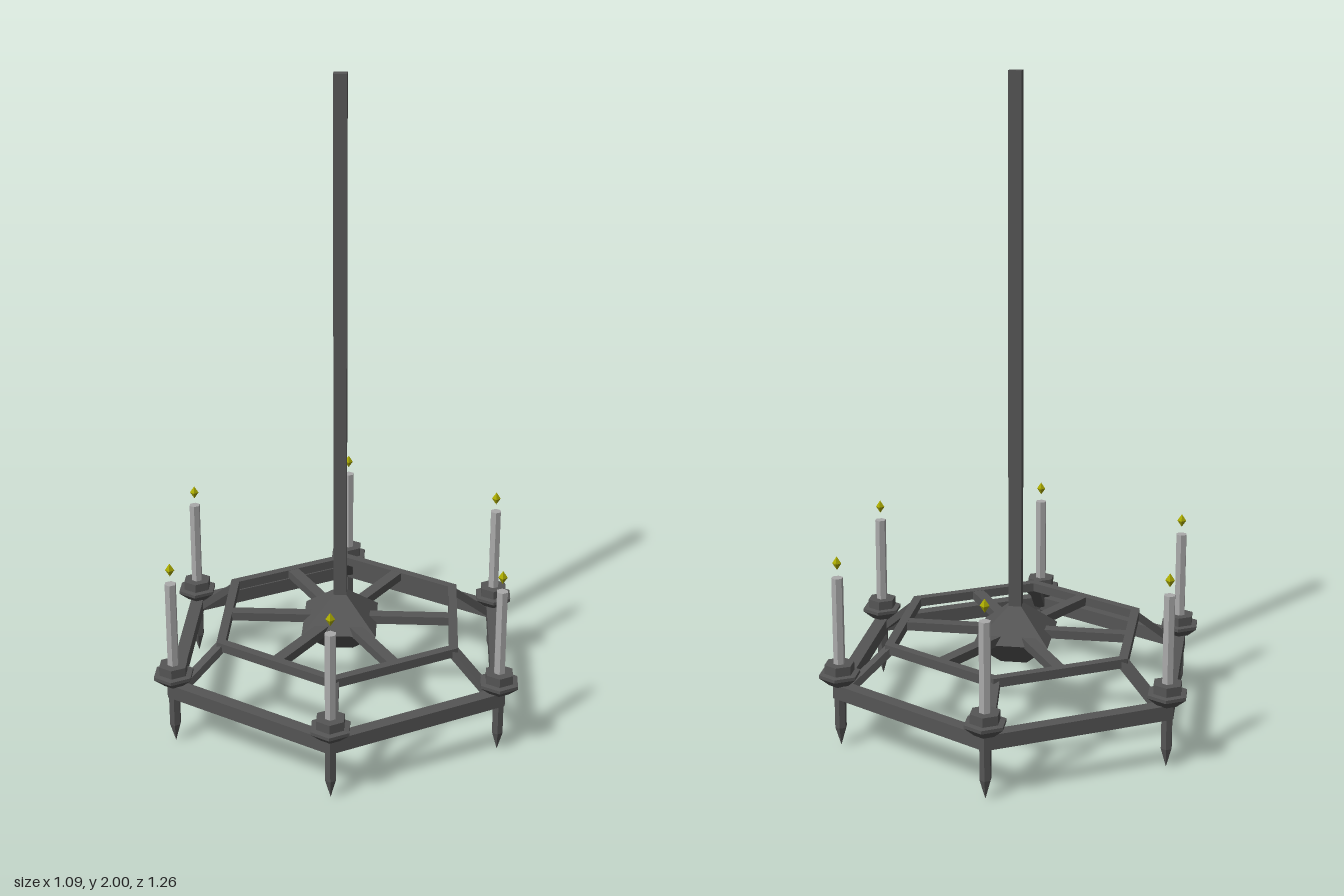
import * as THREE from 'three';

const iron = new THREE.MeshStandardMaterial({ color: 0x555555, flatShading: true });
const wax = new THREE.MeshStandardMaterial({ color: 0xaaaaaa, flatShading: true });
const fire = new THREE.MeshStandardMaterial({ color: 0xaaaa00, flatShading: true });

function add(parent, name, geometry, material = iron) {
  const mesh = new THREE.Mesh(geometry, material);
  mesh.name = name;
  parent.add(mesh);
  return mesh;
}

// Hexagon outline with corners on the z axis, given its centre-to-side distance
function hexagon(PathType, apothem) {
  const r = apothem / Math.cos(Math.PI / 6);
  const points = [];
  for (let i = 0; i < 6; i++) {
    const a = Math.PI / 2 + i * Math.PI / 3;
    points.push(new THREE.Vector2(r * Math.cos(a), r * Math.sin(a)));
  }
  return new PathType().setFromPoints(points);
}

// Mitred hexagonal frame lying flat
function hexRing(apothem, width, y0, y1) {
  const shape = hexagon(THREE.Shape, apothem + width / 2);
  shape.holes.push(hexagon(THREE.Path, apothem - width / 2));
  const g = new THREE.ExtrudeGeometry(shape, { depth: y1 - y0, bevelEnabled: false });
  return g.rotateX(-Math.PI / 2).translate(0, y0, 0);
}

// Faceted turned form from [radius, height] pairs
function turned(profile, sides, phase = 0) {
  const points = profile.map(([r, y]) => new THREE.Vector2(r, y));
  return new THREE.LatheGeometry(points, sides, phase);
}

export function createModel() {
  const model = new THREE.Group();
  model.name = 'chandelier';

  // Hanging rod and square double-pyramid hub
  add(model, 'hangingRod', new THREE.BoxGeometry(0.04, 1.66, 0.04).translate(0, 1.17, 0));
  const s = Math.SQRT2;
  add(model, 'hub', turned(
    [[0, 0.2], [0.04 * s, 0.2], [0.115 * s, 0.28], [0.02 * s, 0.375], [0, 0.375]], 4, Math.PI / 4));

  // Lower outer frame and raised inner frame
  add(model, 'outerFrame', hexRing(0.49, 0.04, 0.155, 0.2));
  add(model, 'innerFrame', hexRing(0.354, 0.027, 0.275, 0.303));

  const cupProfile = [[0, 0.198], [0.032, 0.198], [0.064, 0.225], [0.064, 0.235],
    [0.046, 0.237], [0.046, 0.265], [0, 0.265]];
  const spikeProfile = [[0, 0], [0.018, 0.06], [0.018, 0.16]];

  for (let i = 0; i < 6; i++) {
    // Spoke to the middle of an inner side
    const spokeArm = new THREE.Group();
    spokeArm.name = 'spokeArm';
    spokeArm.rotation.y = i * Math.PI / 3;
    add(spokeArm, 'spoke', new THREE.BoxGeometry(0.3, 0.027, 0.037).translate(0.2, 0.289, 0));
    model.add(spokeArm);

    // Corner arm, built along +z
    const arm = new THREE.Group();
    arm.name = 'candleArm';
    arm.rotation.y = i * Math.PI / 3;
    model.add(arm);

    // Sloping strut between the frames
    const dz = 0.15, dy = -0.123;
    const strut = add(arm, 'strut', new THREE.BoxGeometry(0.034, 0.022, Math.hypot(dz, dy)));
    strut.position.set(0, 0.2265, 0.481);
    strut.rotation.x = Math.atan2(-dy, dz);

    // Drip cup, candle, flame and lower spike
    const holder = new THREE.Group();
    holder.name = 'candleHolder';
    holder.position.z = 0.567;
    arm.add(holder);
    add(holder, 'dripCup', turned(cupProfile, 6));
    add(holder, 'spike', turned(spikeProfile, 6));
    add(holder, 'candle', new THREE.CylinderGeometry(0.018, 0.018, 0.275, 6).translate(0, 0.3975, 0), wax);
    const flame = add(holder, 'flame', new THREE.OctahedronGeometry(1), fire);
    flame.scale.set(0.014, 0.021, 0.014);
    flame.position.y = 0.58;
    flame.rotation.y = -arm.rotation.y;
  }
  return model;
}
